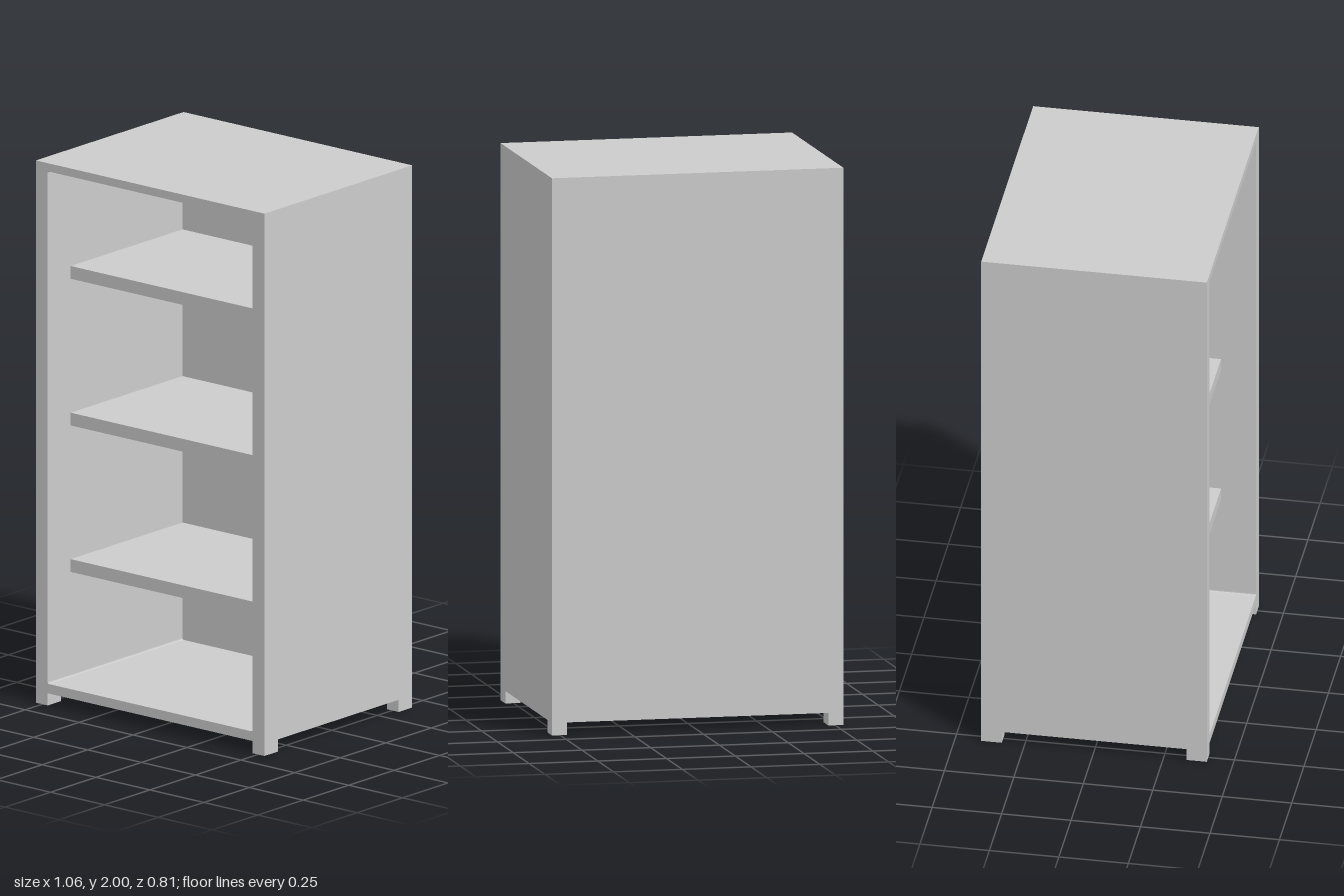
import * as THREE from 'three';

const W = 0.53, D = 0.406, H = 2;        // half width, half depth, height
const FOOT = 0.045;                      // foot height
const INNER = 0.475, BACK = -0.335;      // half opening width, inner back wall

export function createModel() {
  const group = new THREE.Group();
  const material = new THREE.MeshStandardMaterial({ color: 0xcccccc, flatShading: true });

  const add = (name, geometry) => {
    const mesh = new THREE.Mesh(geometry, material);
    mesh.name = name;
    group.add(mesh);
    return mesh;
  };
  // Box given by its lower and upper limits
  const box = (name, x0, x1, y0, y1, z0, z1) =>
    add(name, new THREE.BoxGeometry(x1 - x0, y1 - y0, z1 - z0))
      .position.set((x0 + x1) / 2, (y0 + y1) / 2, (z0 + z1) / 2);

  // Carcass: outer rectangle with a slightly rounded opening
  const outline = new THREE.Shape();
  outline.moveTo(-W, FOOT).lineTo(W, FOOT).lineTo(W, H).lineTo(-W, H).closePath();
  const bottom = 0.08, top = 1.97, r = 0.006;
  const opening = new THREE.Path();
  opening.moveTo(-INNER + r, bottom);
  opening.lineTo(INNER - r, bottom).quadraticCurveTo(INNER, bottom, INNER, bottom + r);
  opening.lineTo(INNER, top - r).quadraticCurveTo(INNER, top, INNER - r, top);
  opening.lineTo(-INNER + r, top).quadraticCurveTo(-INNER, top, -INNER, top - r);
  opening.lineTo(-INNER, bottom + r).quadraticCurveTo(-INNER, bottom, -INNER + r, bottom);
  outline.holes.push(opening);
  add('carcass', new THREE.ExtrudeGeometry(outline, {
    depth: D - BACK, bevelEnabled: false, curveSegments: 3,
  })).position.z = BACK;

  // Back panel
  box('backPanel', -W, W, FOOT, H, -D, BACK);

  // Shelves, set back from the front edge
  for (const y of [0.465, 1.005, 1.546]) {
    box('shelf', -INNER, INNER, y, y + 0.047, BACK, 0.28);
  }

  // Corner feet
  for (const sx of [-1, 1]) for (const sz of [-1, 1]) {
    const x = [sx * INNER, sx * W].sort((a, b) => a - b);
    const z = [sz * 0.332, sz * D].sort((a, b) => a - b);
    box('foot', x[0], x[1], 0, FOOT, z[0], z[1]);
  }
  return group;
}
